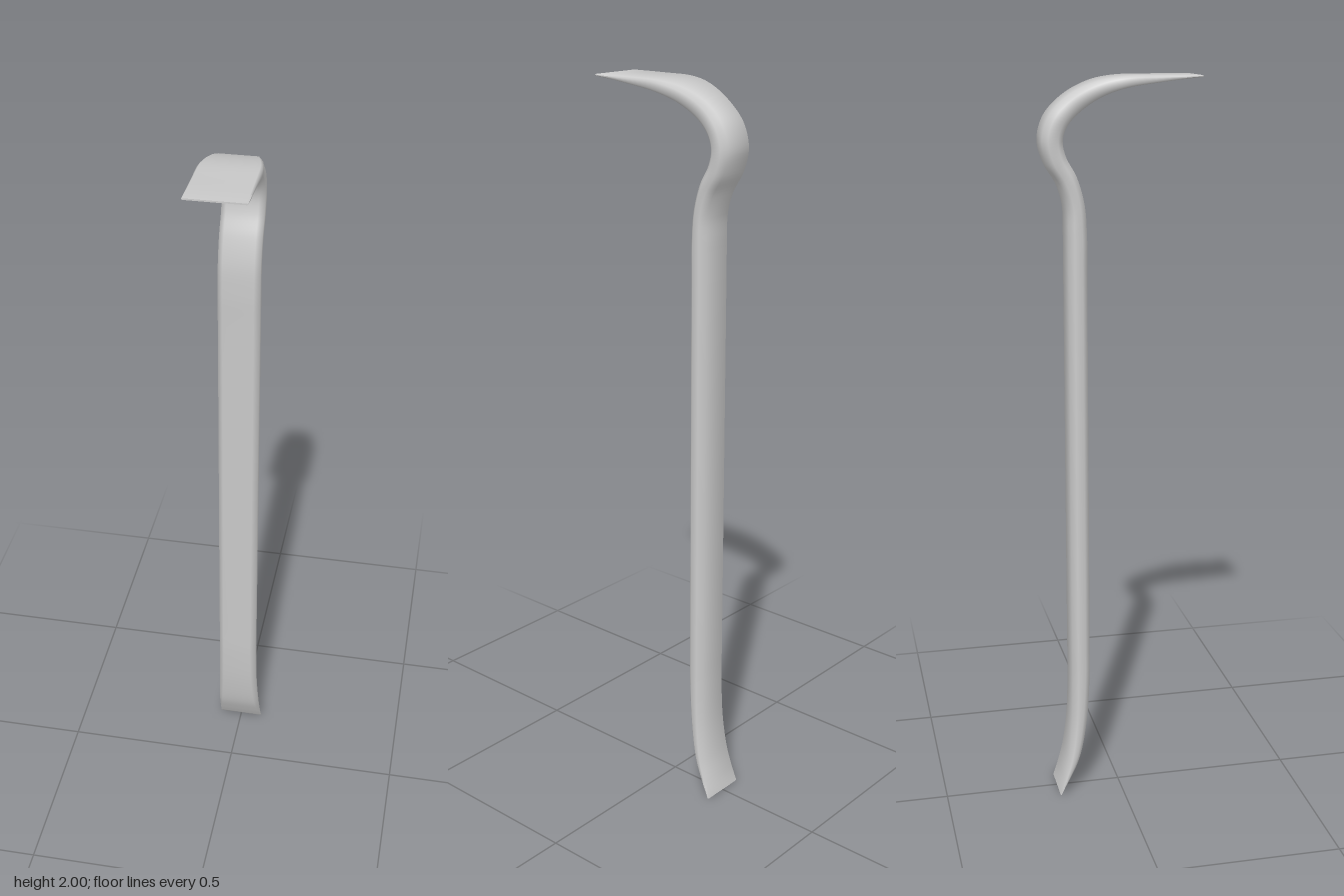
import * as THREE from 'three';
import { toCreasedNormals } from 'three/addons/utils/BufferGeometryUtils.js';

// Stations from foot to claw: [halfWidth, bevel, backY, backZ, frontY, frontZ]
const STATIONS = [
  [0.065, 0.004, 0.0, -0.181, 0.003, -0.177],
  [0.063, 0.006, 0.05, -0.167, 0.05, -0.150],
  [0.061, 0.010, 0.11, -0.154, 0.11, -0.122],
  [0.057, 0.013, 0.21, -0.143, 0.21, -0.101],
  [0.055, 0.014, 0.34, -0.139, 0.34, -0.091],
  [0.055, 0.014, 0.45, -0.139, 0.45, -0.090],
  [0.055, 0.014, 1.50, -0.139, 1.50, -0.090],
  [0.055, 0.014, 1.60, -0.139, 1.60, -0.090],
  [0.055, 0.014, 1.67, -0.141, 1.68, -0.096],
  [0.055, 0.014, 1.725, -0.157, 1.75, -0.116],
  [0.055, 0.014, 1.78, -0.190, 1.80, -0.143],
  [0.055, 0.014, 1.84, -0.205, 1.84, -0.151],
  [0.055, 0.014, 1.90, -0.188, 1.875, -0.140],
  [0.055, 0.013, 1.95, -0.140, 1.91, -0.108],
  [0.064, 0.010, 1.985, -0.070, 1.945, -0.058],
  [0.075, 0.006, 1.998, 0.0, 1.969, 0.004],
  [0.076, 0.004, 2.0, 0.10, 1.984, 0.10],
  [0.076, 0.003, 2.0, 0.205, 1.996, 0.205],
];

// Bevelled bar swept along two guide curves, the back and the front face
function barGeometry(steps) {
  const back = new THREE.CatmullRomCurve3(STATIONS.map(s => new THREE.Vector3(s[0], s[2], s[3])));
  const front = new THREE.CatmullRomCurve3(STATIONS.map(s => new THREE.Vector3(s[1], s[4], s[5])));
  const pos = [], index = [], sides = 8;

  for (let i = 0; i <= steps; i++) {
    const b = back.getPoint(i / steps), f = front.getPoint(i / steps);
    const w = b.x, c = f.x;
    const thick = Math.hypot(f.y - b.y, f.z - b.z);
    const d = Math.min(c / thick, 0.32);
    // [x, share of the way from back to front]
    const ring = [[c - w, 1], [w - c, 1], [w, 1 - d], [w, d], [w - c, 0], [c - w, 0], [-w, d], [-w, 1 - d]];
    for (const [x, s] of ring) {
      pos.push(x, b.y + (f.y - b.y) * s, b.z + (f.z - b.z) * s);
    }
  }
  for (let i = 0; i < steps; i++) {
    for (let j = 0; j < sides; j++) {
      const a = i * sides + j, b = i * sides + (j + 1) % sides;
      index.push(a, b, b + sides, a, b + sides, a + sides);
    }
  }
  // End caps
  const top = steps * sides;
  for (let k = 1; k < sides - 1; k++) {
    index.push(0, k + 1, k, top, top + k, top + k + 1);
  }

  const geo = new THREE.BufferGeometry();
  geo.setAttribute('position', new THREE.Float32BufferAttribute(pos, 3));
  geo.setIndex(index);
  // Enlarged while creasing, so that close vertices stay distinct
  geo.scale(1000, 1000, 1000);
  const creased = toCreasedNormals(geo, 0.9);
  creased.scale(0.001, 0.001, 0.001);
  return creased;
}

export function createModel() {
  const group = new THREE.Group();
  group.name = 'pryBar';
  const bar = new THREE.Mesh(barGeometry((STATIONS.length - 1) * 6),
    new THREE.MeshStandardMaterial({ color: 0xcccccc }));
  bar.name = 'bar';
  group.add(bar);
  return group;
}
